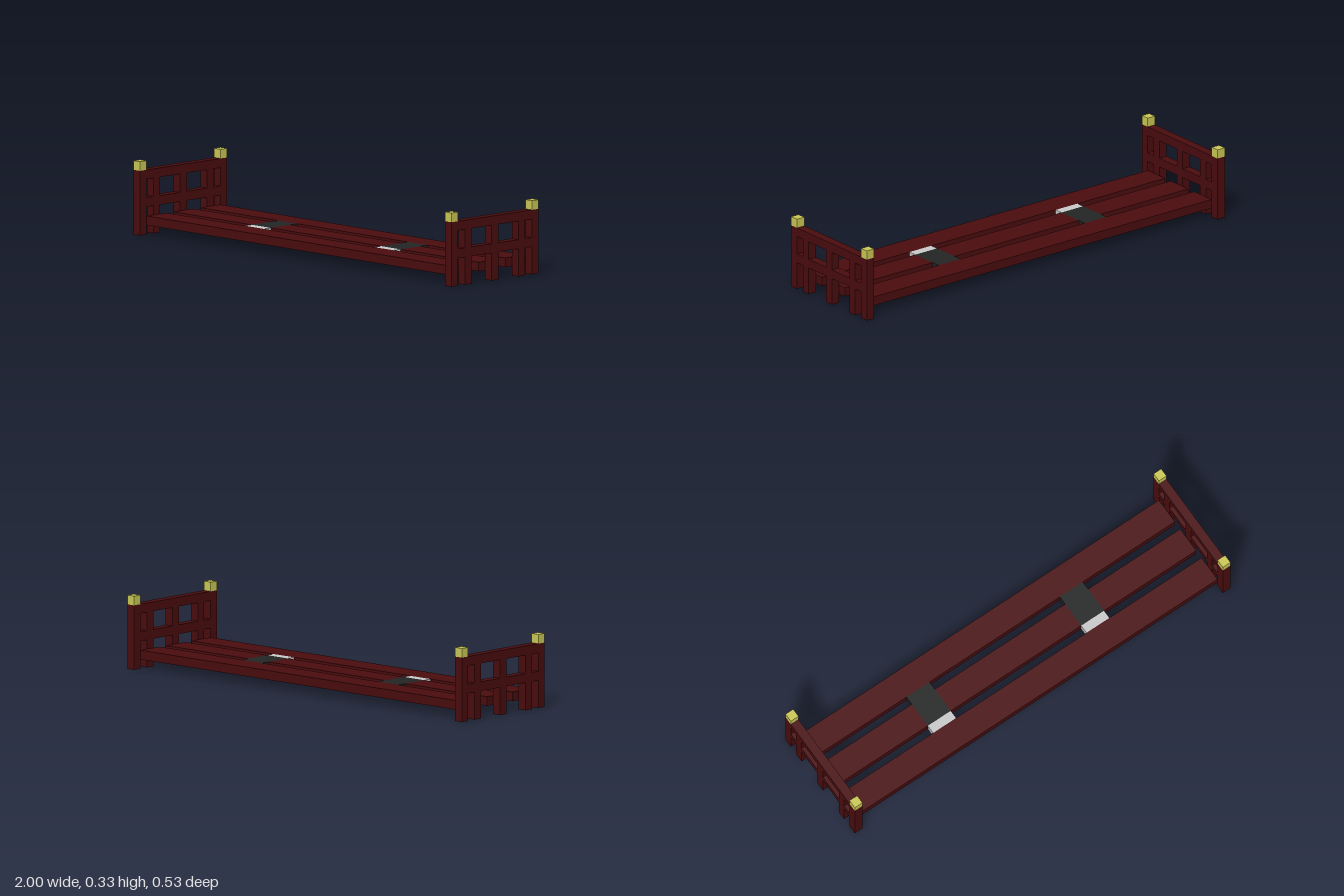
import * as THREE from 'three';

const U = 2 / 49; // one grid unit; the bench is 49 x 8 x 13 units

export function createModel() {
  const group = new THREE.Group();
  const mat = (name, color) => new THREE.MeshStandardMaterial({ name, color });
  const wood = mat('dark red wood', 0x4a0c0e);
  const gold = mat('pale gold', 0xcbc955);
  const black = mat('charcoal', 0x232525);
  const grey = mat('light grey', 0xcacaca);

  // Box given by its minimum and maximum corners, in grid units
  const box = (name, material, [x0, y0, z0], [x1, y1, z1]) => {
    const mesh = new THREE.Mesh(
      new THREE.BoxGeometry((x1 - x0) * U, (y1 - y0) * U, (z1 - z0) * U), material);
    mesh.position.set((x0 + x1) / 2 * U, (y0 + y1) / 2 * U, (z0 + z1) / 2 * U);
    mesh.name = name;
    group.add(mesh);
  };

  // End panel: five legs joined by a middle and a top rail
  const legs = [-6, -4, 0, 4, 6];
  const panel = new THREE.Shape();
  panel.moveTo(-6.5 * U, 7 * U);
  legs.forEach((c) => {
    const l = (c - 0.5) * U, r = (c + 0.5) * U;
    if (c > -6) panel.lineTo(l, 3 * U);
    panel.lineTo(l, 0);
    panel.lineTo(r, 0);
    if (c < 6) panel.lineTo(r, 3 * U);
  });
  panel.lineTo(6.5 * U, 7 * U);
  panel.closePath();
  for (let i = 0; i < legs.length - 1; i++) {
    const l = (legs[i] + 0.5) * U, r = (legs[i + 1] - 0.5) * U;
    const hole = new THREE.Path();
    hole.moveTo(l, 4 * U);
    hole.lineTo(l, 6 * U);
    hole.lineTo(r, 6 * U);
    hole.lineTo(r, 4 * U);
    hole.closePath();
    panel.holes.push(hole);
  }
  const panelGeo = new THREE.ExtrudeGeometry(panel, { depth: U, bevelEnabled: false })
    .translate(0, 0, -U / 2).rotateY(Math.PI / 2);

  for (const s of [-1, 1]) {
    const end = new THREE.Mesh(panelGeo, wood);
    end.name = 'endPanel';
    end.position.x = s * 24 * U;
    group.add(end);
    // Gold caps on the corner posts
    for (const t of [-1, 1]) {
      box('postCap', gold, [s * 24 - 0.5, 7, t * 6 - 0.5], [s * 24 + 0.5, 8, t * 6 + 0.5]);
    }
    // Inlaid cross pieces that bridge the gaps between planks
    box('darkInlay', black, [s * 10 - 1.5, 1, -2.5], [s * 10 + 1.5, 2, 1.5]);
    box('lightInlay', grey, [s * 10 - 1.5, 1, 1.5], [s * 10 + 1.5, 2, 2.5]);
    // Outer planks
    box('outerPlank', wood, [-23.5, 1, s * 4 - 1.5], [23.5, 2, s * 4 + 1.5]);
  }

  // Centre plank, in three lengths between the inlays
  for (const [a, b] of [[-23.5, -11.5], [-8.5, 8.5], [11.5, 23.5]]) {
    box('centrePlank', wood, [a, 1, -1.5], [b, 2, 1.5]);
  }
  return group;
}
